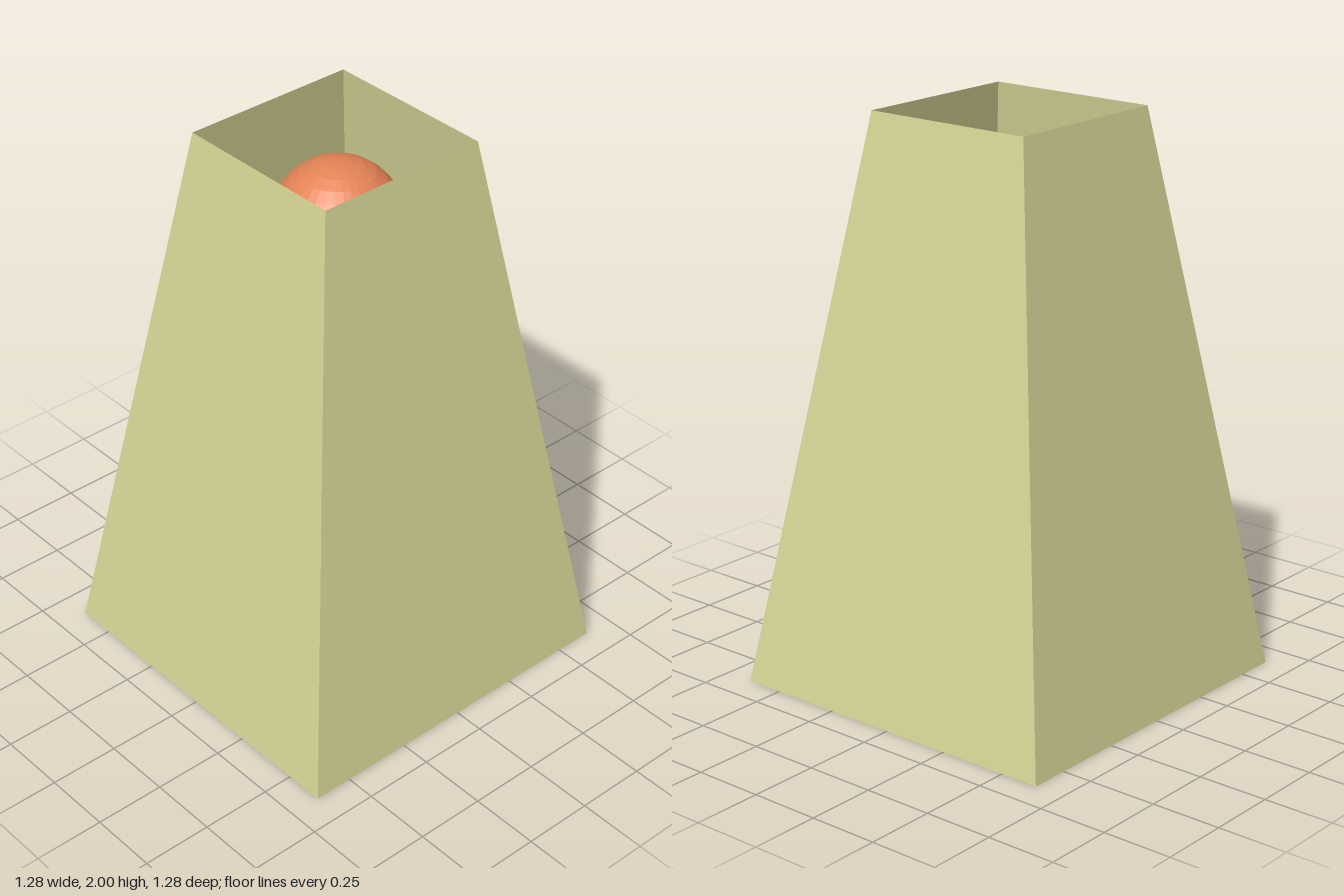
import * as THREE from 'three';

export function createModel() {
  const model = new THREE.Group();
  const shellMaterial = new THREE.MeshStandardMaterial({
    color: 0xd6d596, flatShading: true, side: THREE.DoubleSide,
  });
  const ballMaterial = new THREE.MeshStandardMaterial({ color: 0xe38356, flatShading: true });

  const add = (name, geometry, material) => {
    const mesh = new THREE.Mesh(geometry, material);
    mesh.name = name;
    model.add(mesh);
    return mesh;
  };

  // Four thin tapered walls, open at the top
  const topHalf = 0.32, bottomHalf = 0.64, height = 2;
  const walls = new THREE.CylinderGeometry(
    topHalf * Math.SQRT2, bottomHalf * Math.SQRT2, height, 4, 1, true);
  walls.rotateY(Math.PI / 4);
  add('taperedWalls', walls, shellMaterial).position.y = height / 2;

  // Square floor closing the bottom
  const floor = new THREE.PlaneGeometry(bottomHalf * 2, bottomHalf * 2);
  floor.rotateX(-Math.PI / 2);
  add('floor', floor, shellMaterial);

  // Faceted ball held just inside the opening
  add('ball', new THREE.SphereGeometry(0.225, 32, 16), ballMaterial).position.set(0.013, 1.68, 0);

  return model;
}
